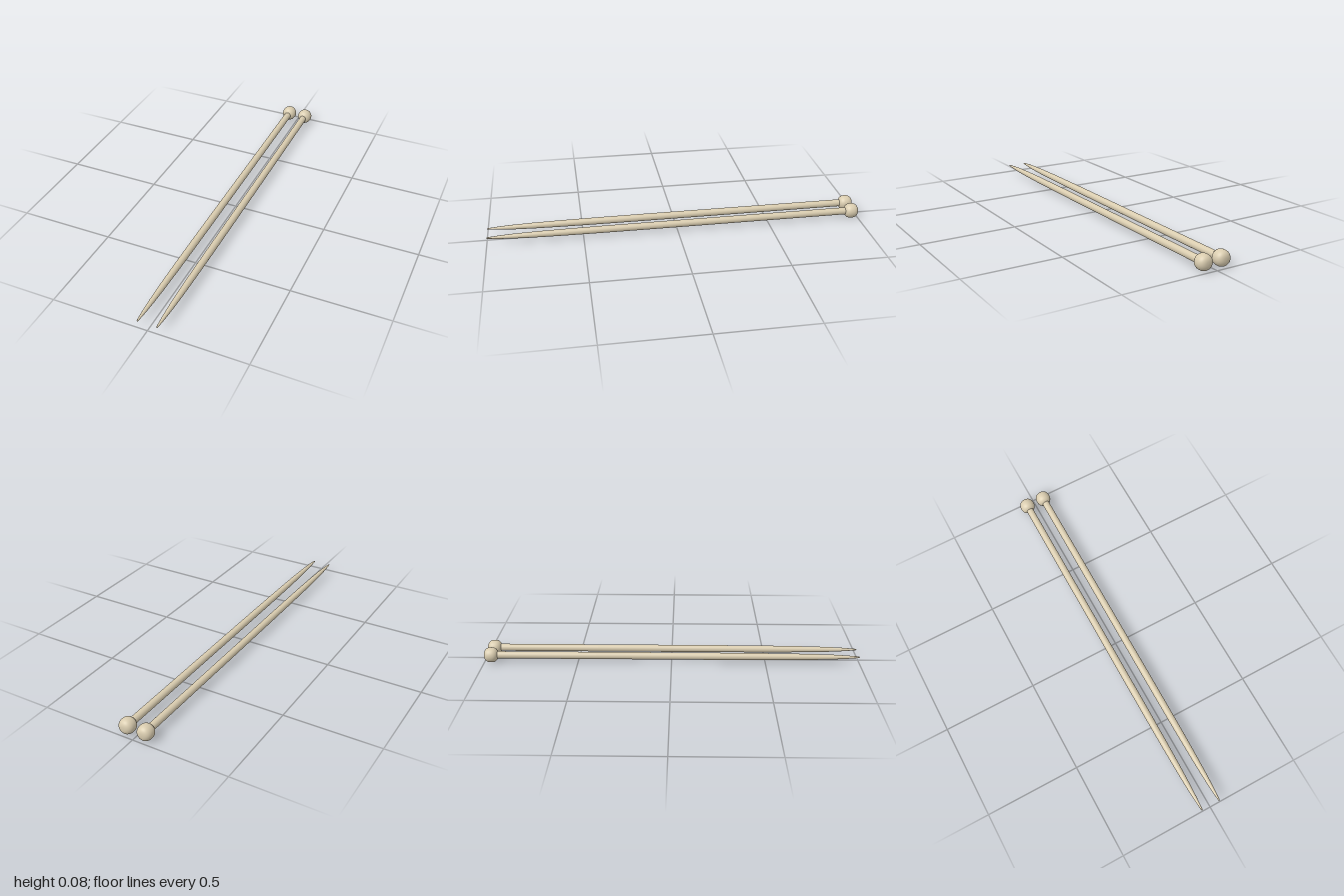
import * as THREE from 'three';

const AXIS_Y = 0.04;
const SPACING = 0.05;

// Turn a smooth [radius, z] profile around the needle's long axis
function turned(name, profile, material) {
  const points = profile.map(([r, z]) => new THREE.Vector2(r, z));
  const geometry = new THREE.LatheGeometry(points, 40);
  geometry.rotateX(Math.PI / 2);
  const mesh = new THREE.Mesh(geometry, material);
  mesh.name = name;
  return mesh;
}

export function createModel() {
  const wood = new THREE.MeshStandardMaterial({ color: 0xd9ccaf });
  wood.name = 'pale wood';

  // Straight shaft that tapers gently, then rounds off at the tip
  const shaft = [
    [0.019, -0.94], [0.019, -0.4], [0.019, 0.2], [0.0186, 0.4], [0.0175, 0.6],
    [0.0155, 0.75], [0.0125, 0.86], [0.009, 0.93], [0.006, 0.97],
    [0.0045, 0.99], [0.003, 0.997], [0, 1],
  ];

  // Ball-shaped stopper, slightly flattened at both ends
  const knob = [[0, -1]];
  const steps = 20;
  for (let i = 1; i < steps; i++) {
    const a = (i / steps) * Math.PI;
    const z = -0.9625 - 0.0375 * Math.sign(Math.cos(a)) * Math.abs(Math.cos(a)) ** 0.85;
    knob.push([0.04 * Math.sin(a) ** 0.8, z]);
  }
  knob.push([0, -0.925]);

  const model = new THREE.Group();
  model.name = 'knittingNeedles';
  for (const [name, side] of [['leftNeedle', 1], ['rightNeedle', -1]]) {
    const needle = new THREE.Group();
    needle.name = name;
    needle.add(turned('shaft', shaft, wood), turned('knob', knob, wood));
    needle.position.set(side * SPACING, AXIS_Y, 0);
    model.add(needle);
  }
  return model;
}
